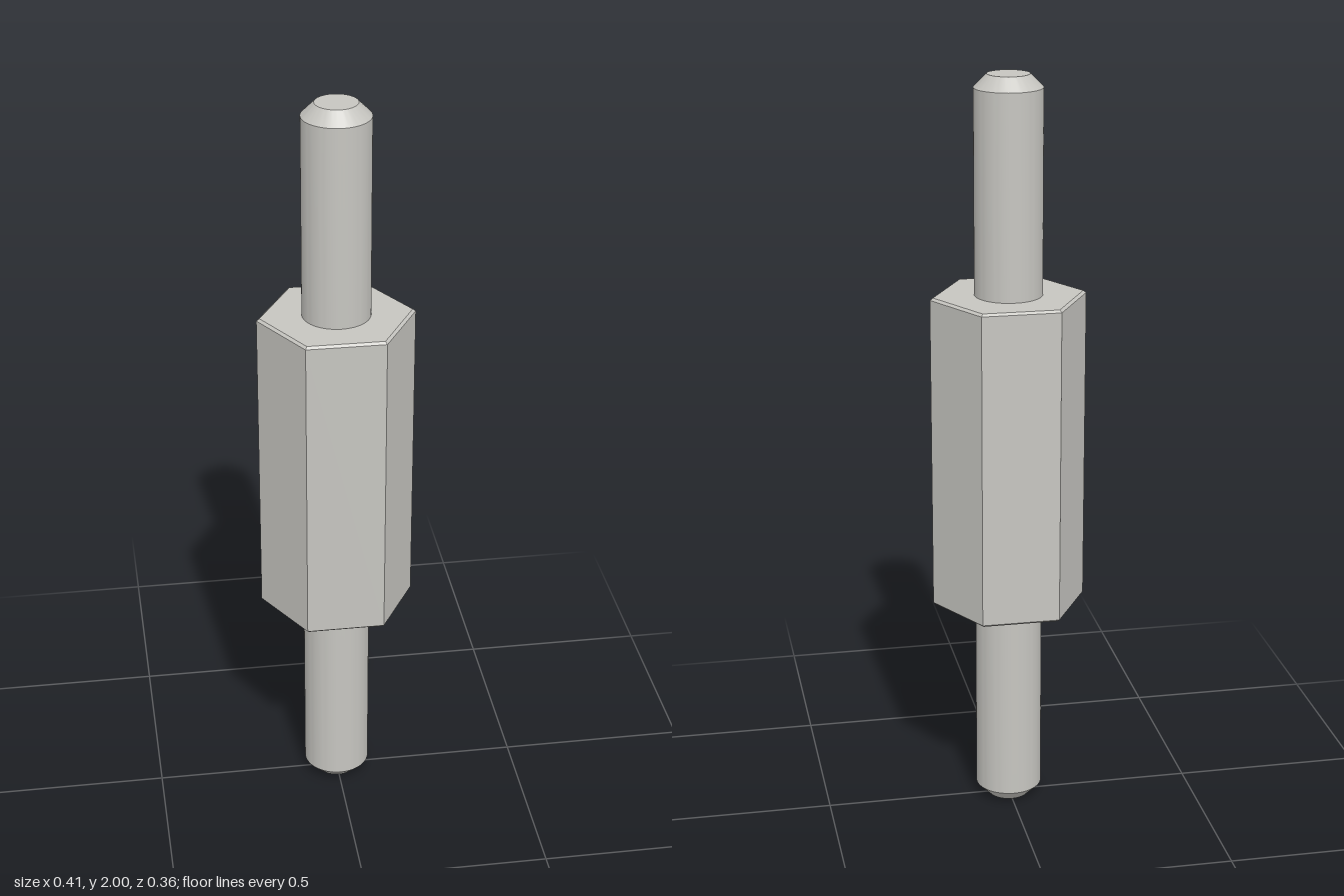
import * as THREE from 'three';
import { toCreasedNormals } from 'three/addons/utils/BufferGeometryUtils.js';

export function createModel() {
  const group = new THREE.Group();
  group.name = 'hexStandoff';
  const steel = new THREE.MeshStandardMaterial({ color: 0xc6c5c0 });
  steel.name = 'steel';

  // Turned part from [radius, height] points, with crisp edges
  const turned = (name, profile, sides, start, crease) => {
    const points = profile.map(([r, y]) => new THREE.Vector2(r, y));
    const lathe = new THREE.LatheGeometry(points, sides, start);
    const mesh = new THREE.Mesh(toCreasedNormals(lathe, crease), steel);
    mesh.name = name;
    group.add(mesh);
    return mesh;
  };

  // Hexagonal body with a small bevel at both ends, corners on the x axis
  const R = 0.2055, bevel = 0.008, bottom = 0.577, top = 1.43;
  turned('hexBody', [
    [0, bottom], [R - bevel, bottom], [R, bottom + 0.006],
    [R, top - 0.006], [R - bevel, top], [0, top],
  ], 6, Math.PI / 6, 0.1);

  // Round studs with chamfered tips, rooted just inside the body
  const r = 0.089, tip = 0.055, chamfer = 0.034;
  turned('topStud', [
    [r, top - 0.02], [r, 2 - chamfer], [tip, 2], [0, 2],
  ], 64, 0, 0.4);
  turned('bottomStud', [
    [0, 0], [tip, 0], [r, chamfer], [r, bottom + 0.02],
  ], 64, 0, 0.4);

  return group;
}
